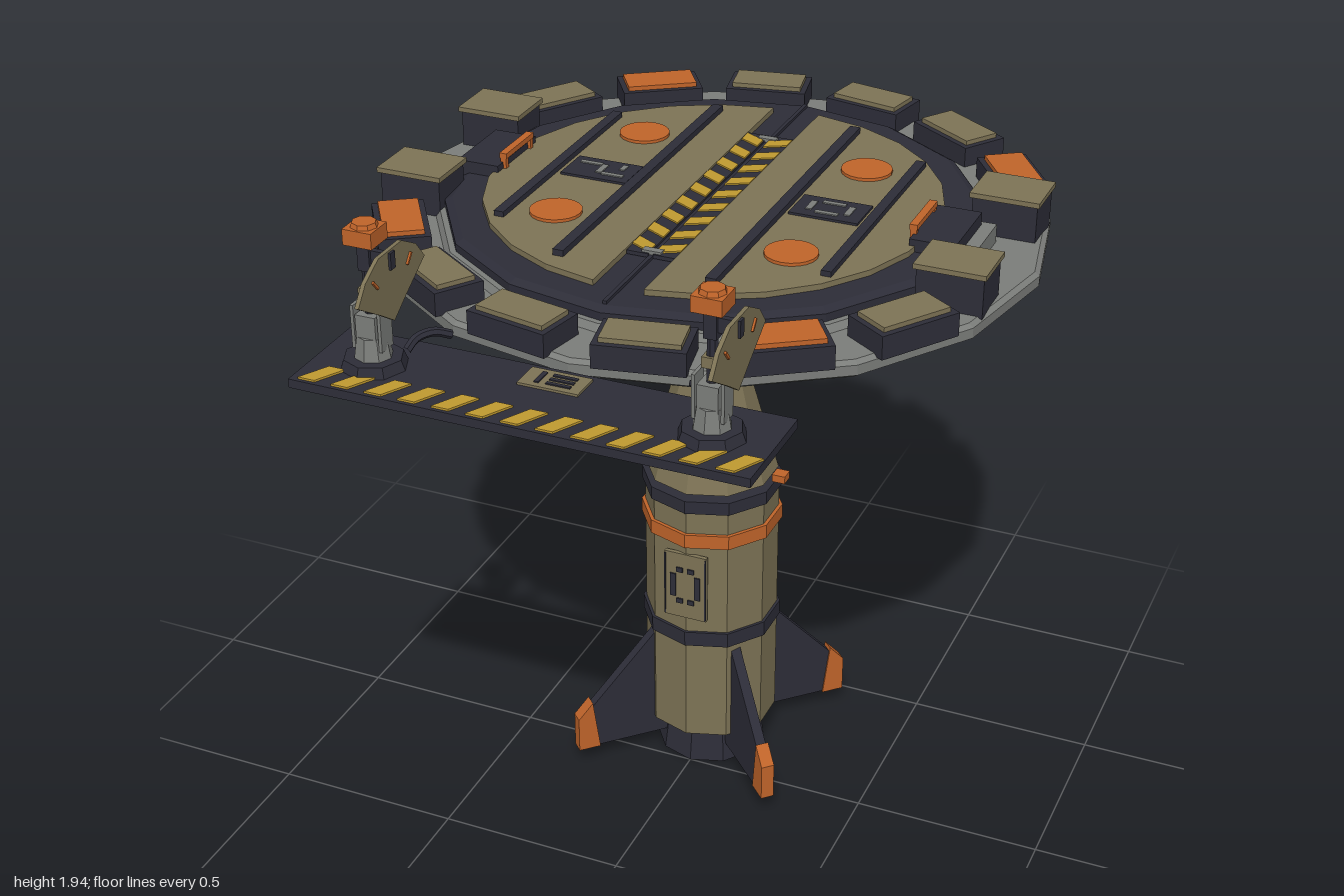
import * as THREE from 'three';

const mat = (name, color, extra = {}) => new THREE.MeshStandardMaterial({ name, color, ...extra });

export function createModel() {
  const olive = mat('olive', 0x7d7355), dark = mat('dark', 0x2d2d38), orange = mat('orange', 0xc0642a);
  const gray = mat('gray', 0x7b7d7a), yellow = mat('yellow', 0xc09a30);
  const root = new THREE.Group();

  const group = (name, parent, x = 0, y = 0, z = 0) => {
    const g = new THREE.Group();
    g.name = name;
    g.position.set(x, y, z);
    parent.add(g);
    return g;
  };
  const add = (parent, name, geo, m, x = 0, y = 0, z = 0) => {
    const flat = geo.index ? geo.toNonIndexed() : geo;
    flat.computeVertexNormals();
    const mesh = new THREE.Mesh(flat, m);
    mesh.name = name;
    mesh.position.set(x, y, z);
    parent.add(mesh);
    return mesh;
  };
  // Box given by its centre in x and z, and its bottom and top heights
  const box = (p, name, m, x, z, w, d, y0, y1) =>
    add(p, name, new THREE.BoxGeometry(w, y1 - y0, d), m, x, (y0 + y1) / 2, z);
  const drum = (p, name, m, rBottom, rTop, y0, y1, sides, x = 0, z = 0) =>
    add(p, name, new THREE.CylinderGeometry(rTop, rBottom, y1 - y0, sides), m, x, (y0 + y1) / 2, z);
  const lathe = (p, name, m, sides, pts) =>
    add(p, name, new THREE.LatheGeometry(pts.map(q => new THREE.Vector2(...q)), sides), m);
  // Flat plate with an outline in x and z
  const slab = (p, name, m, pts, y0, y1) => {
    const shape = new THREE.Shape(pts.map(([x, z]) => new THREE.Vector2(x, -z)));
    const geo = new THREE.ExtrudeGeometry(shape, { depth: y1 - y0, bevelEnabled: false });
    return add(p, name, geo.rotateX(-Math.PI / 2), m, 0, y0, 0);
  };

  // ---- Rocket ----
  const rocket = group('rocket', root, 0, 0, -0.15);
  lathe(rocket, 'nozzle', dark, 10,
    [[0, 0.09], [0.09, 0.09], [0.125, 0], [0.15, 0], [0.135, 0.115], [0, 0.115]]);
  drum(rocket, 'body', olive, 0.18, 0.18, 0.112, 0.835, 10);
  drum(rocket, 'lowerBand', dark, 0.188, 0.188, 0.412, 0.455, 10);
  drum(rocket, 'orangeBand', orange, 0.19, 0.19, 0.725, 0.765, 10);
  drum(rocket, 'upperBand', dark, 0.188, 0.188, 0.83, 0.867, 10);
  drum(rocket, 'noseCone', olive, 0.177, 0.082, 0.883, 1.217, 10);
  lathe(rocket, 'noseTip', orange, 10,
    [[0, 1.217], [0.083, 1.217], [0.052, 1.3], [0.02, 1.377], [0, 1.387]]);
  for (const [x, z] of [[0.196, 0], [-0.196, 0], [0, -0.196]])
    box(rocket, 'thruster', orange, x, z, 0.036, 0.036, 0.877, 0.898);

  // Front service panel with framing bars
  box(rocket, 'servicePanel', olive, 0, 0.178, 0.12, 0.012, 0.5, 0.7);
  for (const s of [-1, 1]) {
    box(rocket, 'panelBar', dark, s * 0.035, 0.185, 0.016, 0.006, 0.565, 0.635);
    for (const y of [0.545, 0.643])
      box(rocket, 'panelEnd', dark, s * 0.016, 0.185, 0.018, 0.006, y, y + 0.014);
    box(rocket, 'panelFrame', dark, s * 0.058, 0.185, 0.004, 0.004, 0.505, 0.695);
  }

  // Four diagonal fins with orange tips
  const finPart = (p, name, m, pts, t) => {
    const geo = new THREE.ExtrudeGeometry(new THREE.Shape(pts.map(q => new THREE.Vector2(...q))),
      { depth: t, bevelEnabled: false });
    add(p, name, geo, m, 0, 0, -t / 2);
  };
  for (let i = 0; i < 4; i++) {
    const fin = group('fin', rocket);
    fin.rotation.y = Math.PI / 4 + i * Math.PI / 2;
    finPart(fin, 'finBlade', dark, [[0.12, 0.055], [0.39, 0.055], [0.39, 0.155], [0.165, 0.4], [0.12, 0.4]], 0.028);
    finPart(fin, 'finTip', orange, [[0.34, 0.052], [0.402, 0.052], [0.402, 0.155], [0.36, 0.202]], 0.036);
  }

  // ---- Round hatch ----
  const hatch = group('hatch', root, 0, 0, -0.15);
  lathe(hatch, 'baseDisc', gray, 16,
    [[0, 1.56], [0.83, 1.56], [0.848, 1.572], [0.848, 1.598], [0.835, 1.607], [0, 1.607]]);
  drum(hatch, 'innerStep', gray, 0.705, 0.69, 1.6, 1.625, 16);
  lathe(hatch, 'hatchRing', dark, 16, [[0.675, 1.6], [0.675, 1.645], [0.655, 1.656], [0, 1.656]]);

  // Rim blocks, with the four side positions left for the clamps
  for (let i = 0; i < 16; i++) {
    if ([3, 4, 11, 12].includes(i)) continue;
    const block = group('rimBlock', hatch);
    block.rotation.y = -(i + 0.5) * Math.PI / 8;
    box(block, 'blockBody', dark, 0, -0.782, 0.22, 0.13, 1.6, 1.66);
    box(block, 'blockTop', i % 4 === 2 ? orange : olive, 0, -0.782, 0.19, 0.1, 1.655, 1.672);
  }

  const hazard = (p, m, x0, x1, z0, z1, y) => box(p, 'stripeBase', m, (x0 + x1) / 2, (z0 + z1) / 2, x1 - x0, z1 - z0, y - 0.01, y);
  for (const s of [-1, 1]) {
    // Door leaf as a circle segment
    const a = Math.acos(0.065 / 0.578), outline = [];
    for (let i = 0; i <= 12; i++) {
      const t = -a + 2 * a * i / 12;
      outline.push([s * 0.578 * Math.cos(t), 0.578 * Math.sin(t)]);
    }
    slab(hatch, 'doorLeaf', olive, outline, 1.65, 1.671);
    box(hatch, 'longRib', dark, s * 0.196, -0.005, 0.028, 0.99, 1.66, 1.687);
    box(hatch, 'shortRib', dark, s * 0.427, -0.005, 0.026, 0.7, 1.66, 1.685);
    for (const z of [-0.27, 0.265]) drum(hatch, 'doorDisc', orange, 0.066, 0.066, 1.67, 1.679, 20, s * 0.31, z);
    // Dark door plate with short gray bars
    box(hatch, 'doorPlate', dark, s * 0.31, -0.004, 0.18, 0.115, 1.668, 1.677);
    const bars = s > 0
      ? [[-0.05, 0, 0.016, 0.05], [0.05, 0, 0.016, 0.05], [0, -0.03, 0.06, 0.014], [0, 0.03, 0.06, 0.014]]
      : [[-0.04, -0.025, 0.06, 0.014], [0, 0, 0.016, 0.05], [0.04, 0.025, 0.06, 0.014], [0.05, -0.025, 0.014, 0.03]];
    for (const [x, z, w, d] of bars) box(hatch, 'plateBar', gray, s * 0.31 + x, z - 0.004, w, d, 1.675, 1.68);

    // Central hazard strip
    hazard(hatch, dark, s > 0 ? 0.006 : -0.063, s > 0 ? 0.063 : -0.006, -0.395, 0.39, 1.668);
    for (let i = 0; i < 9; i++) {
      const z = -0.385 + i * 0.087;
      slab(hatch, 'yellowStripe', yellow,
        [[s * 0.008, z + 0.03], [s * 0.063, z], [s * 0.063, z + 0.042], [s * 0.008, z + 0.072]], 1.667, 1.672);
    }

    // Side clamps, hinge and handle
    for (const z of [-0.22, 0.217]) {
      box(hatch, 'clampBody', dark, s * 0.708, z, 0.165, 0.13, 1.6, 1.705);
      box(hatch, 'clampCap', olive, s * 0.708, z, 0.178, 0.145, 1.703, 1.716);
    }
    box(hatch, 'hingeBracket', gray, s * 0.675, 0, 0.05, 0.25, 1.6, 1.655);
    box(hatch, 'hinge', dark, s * 0.608, 0, 0.115, 0.215, 1.6, 1.688);
    box(hatch, 'handle', orange, s * 0.55, 0, 0.02, 0.155, 1.698, 1.712);
    for (const z of [-0.07, 0.07]) box(hatch, 'handlePost', orange, s * 0.55, z, 0.016, 0.014, 1.66, 1.7);
  }
  box(hatch, 'doorSeam', dark, 0, 0, 0.01, 1.3, 1.65, 1.664);
  for (const z of [-0.37, 0.375]) box(hatch, 'seamLatch', gray, 0, z, 0.05, 0.02, 1.66, 1.674);

  // ---- Front platform ----
  const deck = group('frontPlatform', root);
  box(deck, 'deckPlate', dark, 0, 0.843, 1.11, 0.276, 1.56, 1.582);
  for (let i = 0; i < 13; i++) {
    const x = -0.535 + i * 0.084;
    slab(deck, 'yellowStripe', yellow, [[x, 0.972], [x + 0.042, 0.972], [x + 0.08, 0.9], [x + 0.038, 0.9]], 1.58, 1.587);
  }
  box(deck, 'deckPanel', olive, 0, 0.764, 0.15, 0.08, 1.58, 1.588);
  for (const [x, z, w, d] of [[-0.035, 0.764, 0.012, 0.05], [0.018, 0.745, 0.06, 0.01], [0.018, 0.764, 0.06, 0.01], [0.018, 0.783, 0.06, 0.01]])
    box(deck, 'panelBar', dark, x, z, w, d, 1.586, 1.591);

  // Two sensor masts with fan-shaped panels
  for (const s of [-1, 1]) {
    const mast = group('sensorMast', root, s * 0.412, 0, 0.845);
    drum(mast, 'mastBase', dark, 0.08, 0.07, 1.58, 1.607, 8);
    drum(mast, 'mastFoot', gray, 0.045, 0.036, 1.605, 1.66, 8);
    box(mast, 'mastBlock', gray, 0, 0, 0.05, 0.055, 1.65, 1.715);
    for (const t of [-1, 1]) box(mast, 'yokeArm', gray, t * 0.034, 0, 0.008, 0.05, 1.63, 1.735);
    drum(mast, 'mastPost', dark, 0.013, 0.013, 1.71, 1.89, 8);
    box(mast, 'mastJoint', olive, 0, 0, 0.036, 0.036, 1.752, 1.778);
    box(mast, 'mastCollar', dark, 0, 0, 0.03, 0.03, 1.82, 1.885);
    box(mast, 'sensorHead', orange, 0, 0, 0.072, 0.072, 1.887, 1.925);
    drum(mast, 'headCap', orange, 0.034, 0.028, 1.92, 1.936, 8);

    // Fan panel facing sideways
    const fan = new THREE.Shape([[-0.148, 1.8], [-0.055, 1.742], [0, 1.705], [0.055, 1.742], [0.148, 1.8],
      [0.112, 1.845], [0.052, 1.878], [-0.052, 1.878], [-0.112, 1.845]].map(q => new THREE.Vector2(...q)));
    const geo = new THREE.ExtrudeGeometry(fan, { depth: 0.01, bevelEnabled: false }).rotateY(Math.PI / 2);
    add(mast, 'fanPanel', geo, olive, 0.051, 0, 0);
    box(mast, 'fanArm', dark, 0.03, 0, 0.045, 0.014, 1.835, 1.87);
    box(mast, 'fanHub', dark, 0.063, 0, 0.008, 0.02, 1.833, 1.873);
    for (const t of [-1, 1]) {
      const strut = box(mast, 'fanStrut', orange, 0.063, t * 0.075, 0.006, 0.006, 1.81, 1.84);
      strut.rotation.x = t * 0.7;
    }

    // Cable from the mast to the hatch
    const path = new THREE.CatmullRomCurve3([[0.36, 1.6, 0.79], [0.355, 1.615, 0.75], [0.33, 1.62, 0.715], [0.3, 1.605, 0.685]]
      .map(([x, y, z]) => new THREE.Vector3(s * x, y, z)));
    add(root, 'cable', new THREE.TubeGeometry(path, 10, 0.011, 6), dark);
  }
  return root;
}
